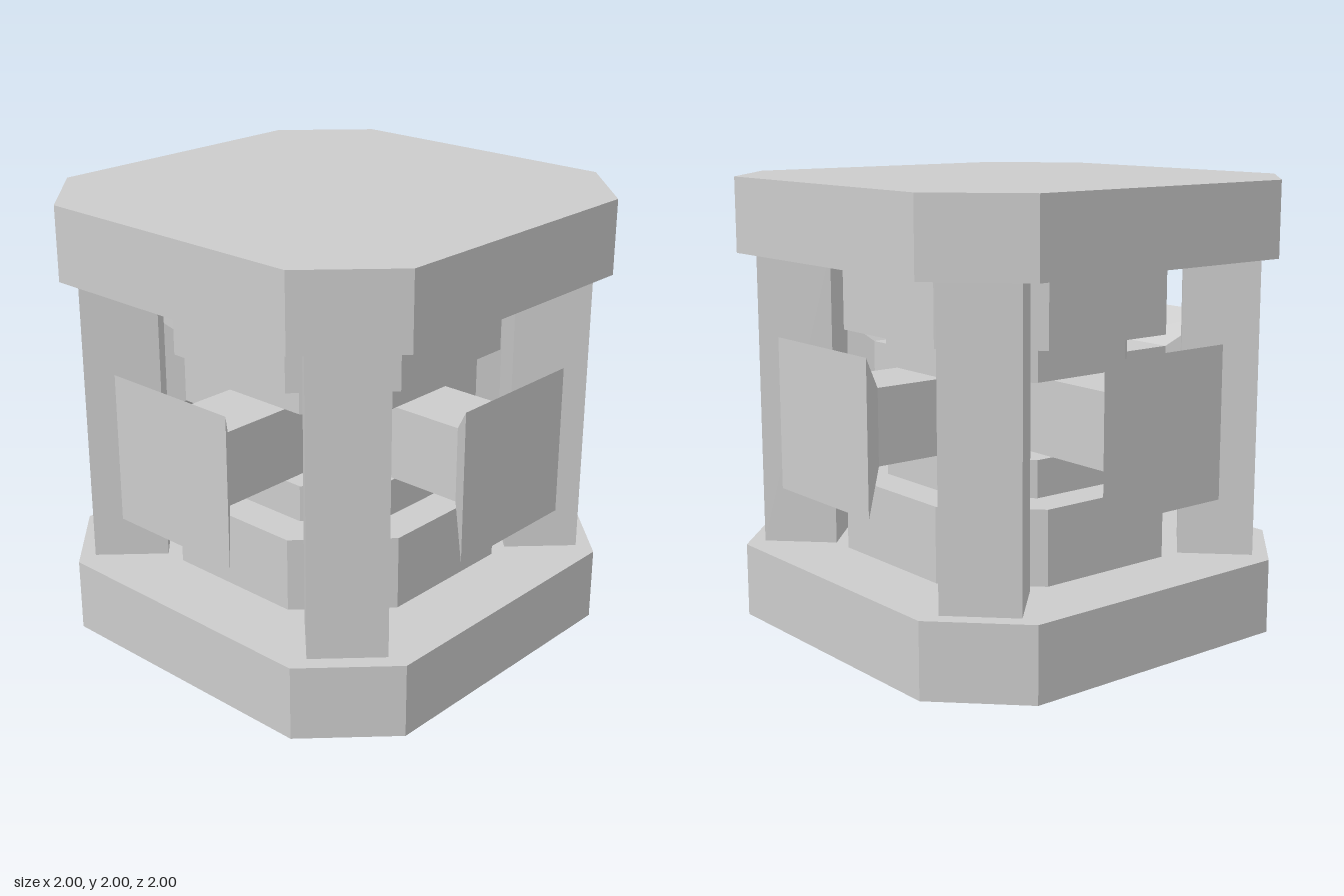
import * as THREE from 'three';

const material = new THREE.MeshStandardMaterial({ color: 0xcccccc, flatShading: true });

function addMesh(parent, name, geometry) {
  const mesh = new THREE.Mesh(geometry, material);
  mesh.name = name;
  parent.add(mesh);
  return mesh;
}

// Horizontal square plate with cut corners; half = half width, flat = half length of each straight side
function addOctagon(parent, name, half, flat, yBottom, height) {
  const corners = [
    [half, -flat], [half, flat], [flat, half], [-flat, half],
    [-half, flat], [-half, -flat], [-flat, -half], [flat, -half],
  ].map(([x, y]) => new THREE.Vector2(x, y));
  const geometry = new THREE.ExtrudeGeometry(new THREE.Shape(corners), { depth: height, bevelEnabled: false });
  geometry.rotateX(-Math.PI / 2);
  geometry.translate(0, yBottom, 0);
  return addMesh(parent, name, geometry);
}

export function createModel() {
  const model = new THREE.Group();
  model.name = 'machineFrame';
  const third = 1 / 3, sixth = 1 / 6;

  // Base and top slabs with two inward steps each
  addOctagon(model, 'baseSlab', 1, 2 * third, 0, third);
  addOctagon(model, 'lowerStep', 2 * third, third, third, third);
  addOctagon(model, 'lowerInnerStep', 0.5, 0.25, 2 * third, sixth);
  addOctagon(model, 'upperInnerStep', 0.5, 0.25, 7 * sixth, sixth);
  addOctagon(model, 'upperStep', 2 * third, third, 4 * third, third);
  addOctagon(model, 'topSlab', 1, 2 * third, 5 * third, third);

  // Corner posts, turned 45 degrees
  for (const x of [-1, 1]) {
    for (const z of [-1, 1]) {
      const post = addMesh(model, 'cornerPost', new THREE.BoxGeometry(third, 4 * third, third));
      post.position.set(x * 2 * third, 1, z * 2 * third);
      post.rotation.y = Math.PI / 4;
    }
  }

  // Four connectors: square arm flaring out to a square face
  for (let i = 0; i < 4; i++) {
    const connector = new THREE.Group();
    connector.name = 'connector';
    const arm = addMesh(connector, 'arm', new THREE.BoxGeometry(third, third, 5 * sixth));
    arm.position.z = 5 / 12;
    const flare = new THREE.CylinderGeometry(third * Math.SQRT2, sixth * Math.SQRT2, sixth, 4);
    flare.rotateY(Math.PI / 4);
    flare.rotateX(Math.PI / 2);
    addMesh(connector, 'flaredFace', flare).position.z = 11 / 12;
    connector.position.y = 1;
    connector.rotation.y = i * Math.PI / 2;
    model.add(connector);
  }

  return model;
}
